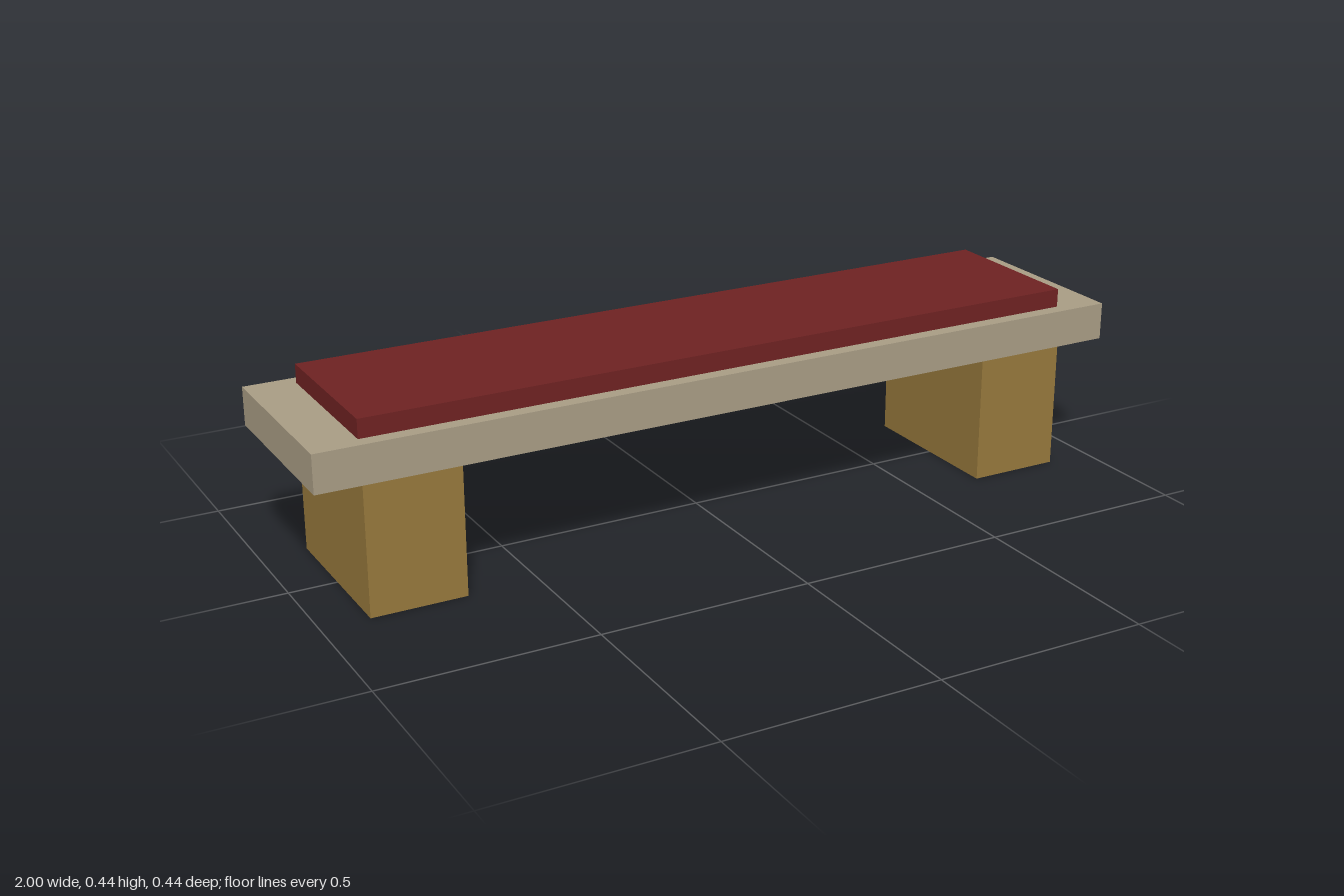
import * as THREE from 'three';

export function createModel() {
  const stone = new THREE.MeshStandardMaterial({ color: 0xa89c84 });
  stone.name = 'stone';
  const wood = new THREE.MeshStandardMaterial({ color: 0x96783c });
  wood.name = 'wood';
  const redFabric = new THREE.MeshStandardMaterial({ color: 0x6e2222 });
  redFabric.name = 'redFabric';

  const bench = new THREE.Group();
  bench.name = 'bench';

  // Adds a block with its underside at the given height
  function block(name, material, width, height, depth, x, bottom) {
    const mesh = new THREE.Mesh(new THREE.BoxGeometry(width, height, depth), material);
    mesh.name = name;
    mesh.position.set(x, bottom + height / 2, 0);
    bench.add(mesh);
  }

  const legHeight = 0.311;
  const slabHeight = 0.089;

  // Legs, mirrored left and right
  for (const [name, side] of [['leftLeg', 1], ['rightLeg', -1]]) {
    block(name, wood, 0.222, legHeight, 0.4, side * 0.778, 0);
  }
  // Seat slab and the cushion on top
  block('seat', stone, 2, slabHeight, 0.444, 0, legHeight);
  block('cushion', redFabric, 1.778, 0.044, 0.378, 0, legHeight + slabHeight);

  return bench;
}
